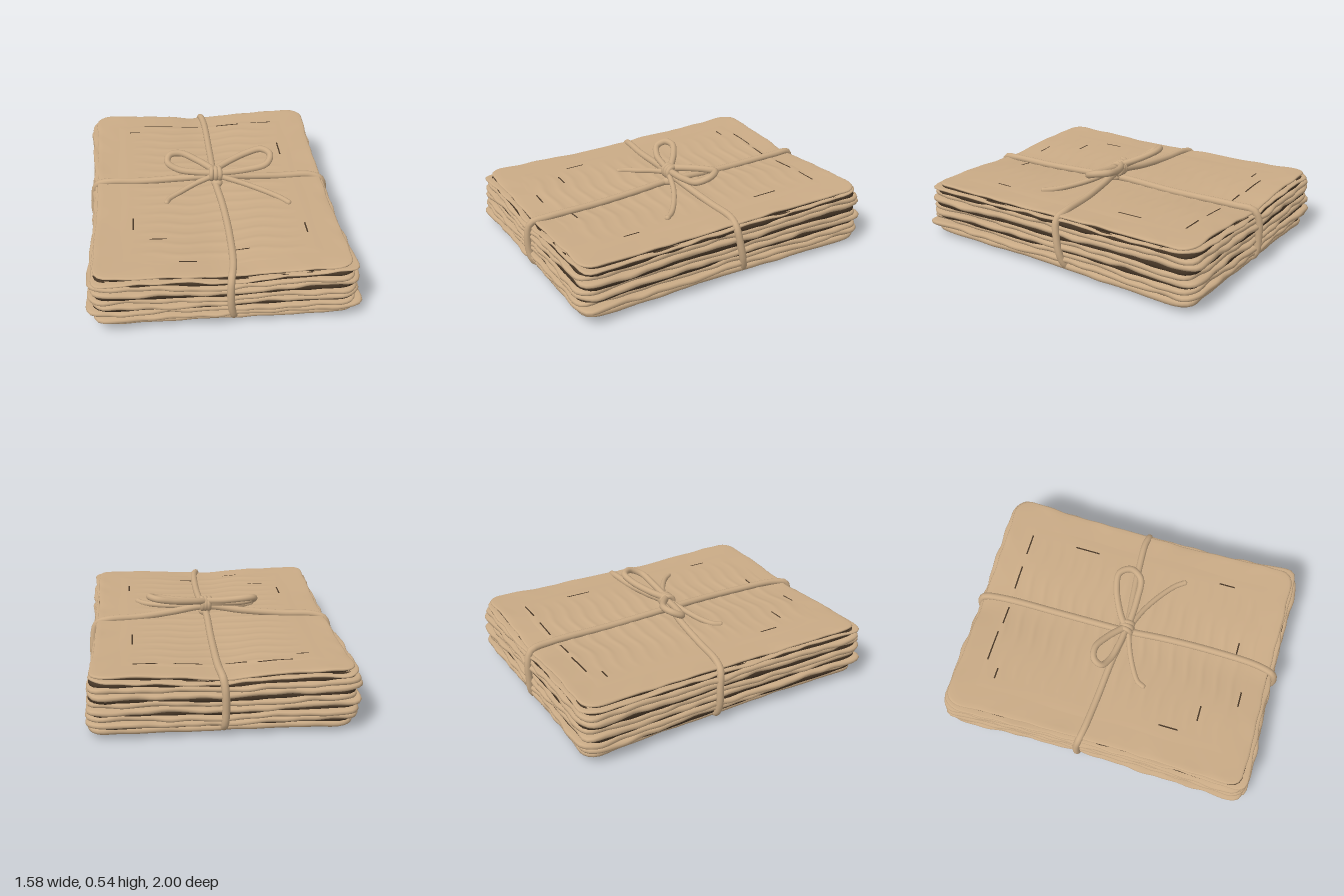
import * as THREE from 'three';

const TOP = 0.325; // nominal stack height before warping

// The bundle is squeezed under the cord, raised at the corners and tilted up towards the back
function lift(x, y, z) {
  const corners = 0.034 * (x * x / (x * x + 0.06)) * (0.6 + 0.45 * z * z);
  const dome = 0.012 * Math.exp(-(x * x + z * z) / 0.12);
  return y + (y / TOP) * (corners + dome - 0.02 * z);
}

function roundedOutline(w, d, r, count) {
  const s = new THREE.Shape();
  s.moveTo(w, -d + r);
  s.lineTo(w, d - r);
  s.quadraticCurveTo(w, d, w - r, d);
  s.lineTo(-w + r, d);
  s.quadraticCurveTo(-w, d, -w, d - r);
  s.lineTo(-w, -d + r);
  s.quadraticCurveTo(-w, -d, -w + r, -d);
  s.lineTo(w - r, -d);
  s.quadraticCurveTo(w, -d, w, -d + r);
  return s.getSpacedPoints(count).slice(0, count);
}

// One leaf: rings run from the underside, round the edge, to the upper side.
// Only the outermost leaves reach the centre; the others end inside the core.
// Leaves of one pack share their wave, so the pack stays closed.
function leafGeometry({ y0, y1, inset, dx = 0, dz = 0, turn = 0, rough = 1, seed = 0, pack = 0, under = false, over = false }) {
  const N = 200;
  const outline = roundedOutline(0.745 * inset, 0.965 * inset, 0.11, N);
  const centre = [0.001, 0.15, 0.3, 0.45, 0.6, 0.75];
  const rim = [0.88, 0.95, 0.985];
  const rings = [
    ...(under ? [...centre, ...rim] : rim).map((s) => [s, 0]),
    [0.996, 0.2], [1, 0.5], [0.996, 0.8],
    ...(over ? [...centre, ...rim] : rim).reverse().map((s) => [s, 1]),
  ];
  const pos = [];
  const index = [];
  rings.forEach(([s, t]) => {
    outline.forEach((p, j) => {
      const a = (j / N) * Math.PI * 2;
      const edge = Math.max(0, (s - 0.88) / 0.12) * rough;
      // ragged, wavy paper edge
      const ragged = 1 + edge * (0.005 * Math.sin(9 * a + seed * 2.3)
        + 0.004 * Math.sin(23 * a + seed * 4.1) + 0.003 * Math.sin(41 * a + seed));
      const wave = edge * (0.005 * Math.sin(7 * a + pack * 1.7) + 0.003 * Math.sin(17 * a + pack * 3.1)
        + 0.002 * Math.sin(31 * a + seed * 2.7));
      let x = p.x * s * ragged;
      let z = p.y * s * ragged;
      x *= 0.988 + 0.035 * z * z;
      z *= 1 + 0.012 * x * x;
      const X = x * Math.cos(turn) - z * Math.sin(turn) + dx;
      const Z = x * Math.sin(turn) + z * Math.cos(turn) + dz;
      pos.push(X, Math.max(0.01, lift(X, y0 + (y1 - y0) * t, Z) + wave), Z);
    });
  });
  for (let i = 0; i < rings.length - 1; i++) {
    for (let j = 0; j < N; j++) {
      const k = (j + 1) % N;
      const a = i * N + j, b = i * N + k, c = a + N, d = b + N;
      index.push(a, c, b, b, c, d);
    }
  }
  const g = new THREE.BufferGeometry();
  g.setAttribute('position', new THREE.Float32BufferAttribute(pos, 3));
  g.setIndex(index);
  g.computeVertexNormals();
  return g;
}

// Height of the wrinkled face, whose border sinks into the top leaf
const FACE_W = 1.3, FACE_D = 1.74;
function faceHeight(x, z) {
  const border = Math.min(1, (FACE_W / 2 - Math.abs(x)) / 0.12, (FACE_D / 2 - Math.abs(z)) / 0.12);
  const phase = z / 0.1 + 0.12 * Math.sin(9 * x) + 0.08 * Math.sin(21 * x + 5 * z);
  const fade = Math.max(0, 1 - (x / 0.5) ** 4);
  const ridge = 0.004 * fade * Math.pow(0.5 + 0.5 * Math.sin(phase * Math.PI * 2), 3);
  const ripple = 0.001 * Math.sin(13 * x + 3 * z) * Math.sin(7 * z);
  return lift(x, TOP, z) - 0.003 + border * (0.005 + ridge + ripple);
}

function wrinkledFace() {
  const g = new THREE.PlaneGeometry(FACE_W, FACE_D, 50, 150).rotateX(-Math.PI / 2);
  const p = g.attributes.position;
  for (let i = 0; i < p.count; i++) p.setY(i, faceHeight(p.getX(i), p.getZ(i)));
  g.computeVertexNormals();
  return g;
}

export function createModel() {
  const group = new THREE.Group();
  const paper = new THREE.MeshStandardMaterial({ color: 0xcaab86 });
  paper.name = 'kraft paper';
  const shade = new THREE.MeshStandardMaterial({ color: 0x463626 });
  shade.name = 'dark gap';

  const add = (geometry, material, name, parent = group) => {
    const m = new THREE.Mesh(geometry, material);
    m.name = name;
    parent.add(m);
    return m;
  };
  const cord = (points, radius, name, closed = false, parent = group) => {
    const pts = points.map((p) => new THREE.Vector3(...p));
    const curve = new THREE.CatmullRomCurve3(pts, closed, 'centripetal');
    add(new THREE.TubeGeometry(curve, pts.length * 8, radius, 10, closed), paper, name, parent);
    if (!closed) {
      [pts[0], pts[pts.length - 1]].forEach((p) => {
        add(new THREE.SphereGeometry(radius, 10, 8), paper, name + 'End', parent).position.copy(p);
      });
    }
  };

  // Four packs of leaves: pack, bottom, top, inset, x shift, z shift, turn, roughness
  const stack = new THREE.Group();
  stack.name = 'paperStack';
  group.add(stack);
  const leaves = [
    [1, 0.016, 0.052, 0.985, 0.012, 0, 0.004, 0.5],
    [2, 0.059, 0.09, 1.015, 0.01, 0.002, -0.012, 1],
    [2, 0.089, 0.12, 1.012, -0.01, -0.002, 0.014, 1],
    [3, 0.132, 0.163, 1.012, 0.002, 0, -0.008, 1],
    [3, 0.162, 0.194, 1.004, -0.004, 0.002, 0.01, 1],
    [4, 0.211, 0.243, 1.01, 0, -0.002, -0.012, 1],
    [4, 0.242, 0.273, 1.004, -0.008, 0, 0.006, 1],
    [5, 0.286, 0.302, 0.998, -0.004, -0.002, -0.008, 1],
    [6, 0.308, TOP, 0.975, 0, -0.004, 0.004, 0.6],
  ];
  leaves.forEach(([pack, y0, y1, inset, dx, dz, turn, rough], i) => {
    const ends = { under: i === 0, over: i === leaves.length - 1 };
    const spec = { pack, y0, y1, inset, dx, dz, turn, rough, seed: i + 1, ...ends };
    add(leafGeometry(spec), paper, 'leaf' + (i + 1), stack);
  });
  // Dark layers showing in the gaps between packs
  [[0.035, 0.075, 0.978], [0.105, 0.147, 0.992], [0.178, 0.227, 0.992], [0.258, 0.297, 0.985], [0.294, 0.317, 0.965]]
    .forEach(([y0, y1, inset], i) => {
      add(leafGeometry({ y0, y1, inset, rough: 0.4, seed: i + 20 }), shade, 'gap' + (i + 1), stack);
    });
  add(wrinkledFace(), paper, 'wrinkledFace', stack);

  // Short dark creases on the top: x, z, length, whether it runs along z
  const creases = new THREE.Group();
  creases.name = 'creases';
  group.add(creases);
  [
    [-0.3, -0.78, 0.2, 0], [-0.08, -0.77, 0.12, 0], [0.19, -0.775, 0.16, 0], [0.43, -0.775, 0.14, 0],
    [0.5, -0.4, 0.16, 1], [0.52, 0.54, 0.1, 1], [-0.5, 0.42, 0.12, 1], [-0.36, 0.58, 0.1, 0],
    [0.12, 0.71, 0.08, 0], [-0.2, 0.8, 0.1, 0], [-0.47, -0.7, 0.07, 0],
  ].forEach(([x, z, length, alongZ]) => {
    const g = new THREE.PlaneGeometry(alongZ ? 0.009 : length, alongZ ? length : 0.009, alongZ ? 1 : 12, alongZ ? 12 : 1);
    g.rotateX(-Math.PI / 2).translate(x, 0, z);
    const p = g.attributes.position;
    for (let i = 0; i < p.count; i++) {
      const px = p.getX(i), pz = p.getZ(i);
      p.setY(i, faceHeight(px, pz) + 0.002);
    }
    g.computeVertexNormals();
    add(g, shade, 'crease', creases);
  });

  // Cord running front to back, all the way round
  cord([
    [0.03, 0.355, 0], [0.05, 0.346, 0.25], [0.06, 0.333, 0.55], [0.05, 0.322, 0.85], [0.03, 0.3, 0.955],
    [0.025, 0.24, 0.977], [0.03, 0.12, 0.977], [0.045, 0.05, 0.955], [0.05, 0.022, 0.88],
    [0.03, 0.021, 0.3], [0.02, 0.021, -0.4], [0.01, 0.022, -0.88], [0, 0.06, -0.96],
    [-0.005, 0.17, -0.977], [0, 0.29, -0.973], [0.01, 0.345, -0.945], [0.025, 0.355, -0.82], [0.03, 0.348, -0.4],
  ], 0.022, 'lengthCord', true);

  // Cord running side to side
  cord([
    [0.03, 0.4, 0], [-0.2, 0.376, -0.03], [-0.45, 0.356, -0.05], [-0.65, 0.351, -0.07], [-0.722, 0.325, -0.085],
    [-0.748, 0.22, -0.1], [-0.746, 0.1, -0.1], [-0.71, 0.03, -0.1], [-0.6, 0.021, -0.09],
    [0, 0.021, -0.08], [0.6, 0.021, -0.1], [0.712, 0.03, -0.1], [0.746, 0.1, -0.08],
    [0.748, 0.22, -0.055], [0.722, 0.32, -0.04], [0.65, 0.348, -0.05], [0.45, 0.356, -0.04], [0.25, 0.375, -0.02],
  ], 0.022, 'crossCord', true);

  // Bow loops and tails
  const bow = new THREE.Group();
  bow.name = 'bow';
  group.add(bow);
  cord([
    [0.02, 0.44, -0.01], [-0.08, 0.47, -0.09], [-0.18, 0.497, -0.14], [-0.25, 0.496, -0.125],
    [-0.268, 0.47, -0.075], [-0.2, 0.437, -0.035], [-0.08, 0.425, -0.01], [0.02, 0.42, 0],
  ], 0.021, 'rightLoop', false, bow);
  cord([
    [0.03, 0.44, -0.01], [0.1, 0.455, -0.06], [0.24, 0.485, -0.125], [0.34, 0.505, -0.135],
    [0.388, 0.5, -0.07], [0.355, 0.47, 0], [0.22, 0.443, 0.015], [0.04, 0.425, 0.01],
  ], 0.021, 'leftLoop', false, bow);
  cord([
    [0.01, 0.41, 0.02], [-0.1, 0.385, 0.06], [-0.2, 0.358, 0.11], [-0.27, 0.345, 0.16], [-0.29, 0.342, 0.2],
  ], 0.017, 'rightTail', false, bow);
  cord([
    [0.05, 0.41, 0.02], [0.2, 0.38, 0.075], [0.33, 0.36, 0.15], [0.42, 0.348, 0.22], [0.46, 0.345, 0.27],
  ], 0.017, 'leftTail', false, bow);

  // Knot: wraps round a solid centre
  add(new THREE.SphereGeometry(0.04, 16, 12), paper, 'knotCentre', bow).position.set(0.03, 0.42, 0);
  [0.008, 0.032, 0.054].forEach((x, i) => {
    const wrap = add(new THREE.TorusGeometry(0.034, 0.016, 10, 24), paper, 'knotWrap', bow);
    wrap.position.set(x, 0.418, 0);
    wrap.rotation.y = Math.PI / 2 + (i - 1) * 0.15;
  });
  const under = add(new THREE.SphereGeometry(0.036, 14, 10), paper, 'underKnot', bow);
  under.position.set(0.04, 0.36, 0.02);
  under.scale.y = 0.8;

  return group;
}
